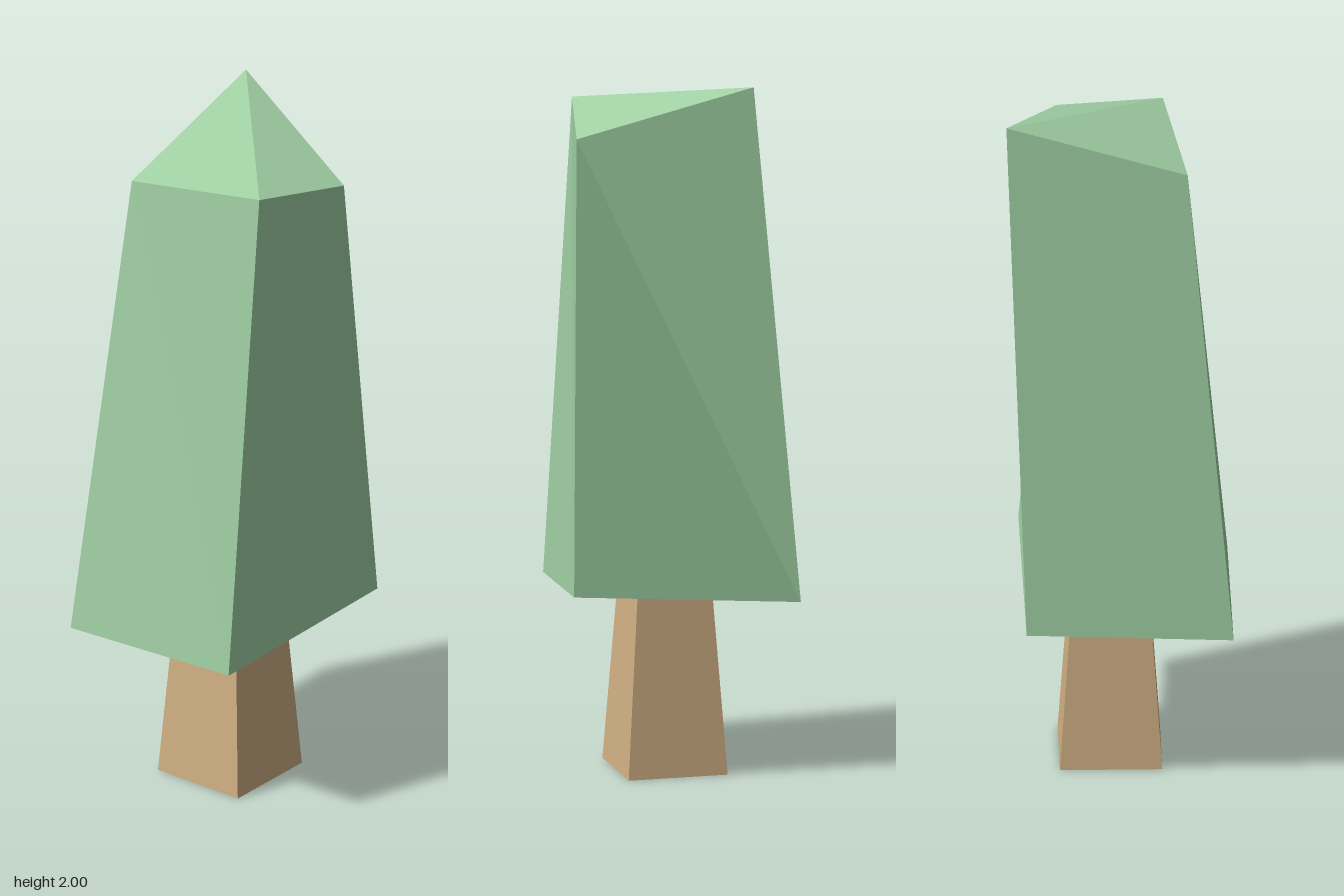
import * as THREE from 'three';

// Eight-cornered solid from two loops of four corners, each running counter-clockwise seen from above
function createSkewedBlock(lower, upper) {
  const corners = [...lower, ...upper];
  const index = [4, 5, 6, 4, 6, 7, 0, 3, 2, 0, 2, 1]; // top and underside
  for (let i = 0; i < 4; i++) {
    const j = (i + 1) % 4;
    index.push(i, j, i + 4, j, j + 4, i + 4);
  }
  const geometry = new THREE.BufferGeometry();
  geometry.setAttribute('position', new THREE.Float32BufferAttribute(corners.flat(), 3));
  geometry.setIndex(index);
  const faceted = geometry.toNonIndexed();
  faceted.computeVertexNormals();
  return faceted;
}

export function createModel() {
  const tree = new THREE.Group();
  tree.name = 'tree';

  // Tapered square trunk, running a little way into the foliage
  const height = 0.6;
  const trunkGeometry = new THREE.CylinderGeometry(0.102 * Math.SQRT2, 0.1425 * Math.SQRT2, height, 4);
  trunkGeometry.rotateY(Math.PI / 4);
  const trunk = new THREE.Mesh(
    trunkGeometry,
    new THREE.MeshStandardMaterial({ color: 0xd0b084, flatShading: true })
  );
  trunk.name = 'trunk';
  trunk.position.set(0.0225, height / 2, -0.0025);
  tree.add(trunk);

  // Irregular, leaning block of leaves; corners: front right, front left, back left, back right
  const foliage = new THREE.Mesh(
    createSkewedBlock(
      [[-0.31, 0.495, 0.26], [0.27, 0.56, 0.325], [0.262, 0.505, -0.33], [-0.315, 0.47, -0.3]],
      [[-0.13, 1.895, 0.225], [0.165, 1.845, 0.29], [0.315, 2, -0.18], [-0.19, 1.85, -0.182]]
    ),
    new THREE.MeshStandardMaterial({ color: 0xa0d0a4, flatShading: true })
  );
  foliage.name = 'foliage';
  tree.add(foliage);

  return tree;
}
